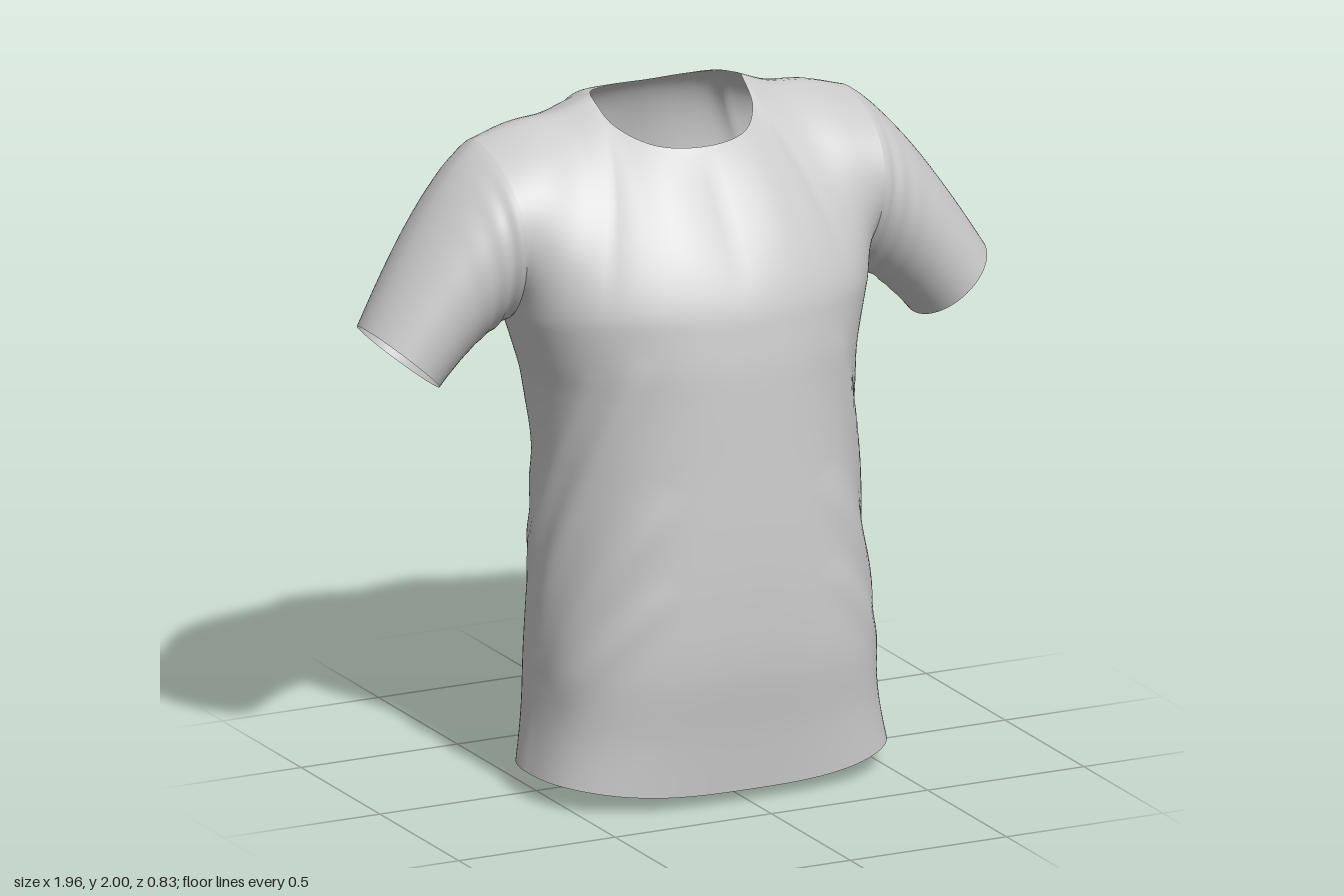
import * as THREE from 'three';
import { mergeVertices, mergeGeometries } from 'three/addons/utils/BufferGeometryUtils.js';

const V = (x, y, z) => new THREE.Vector3(x, y, z);
const mix = THREE.MathUtils.lerp;
const HALF = 32;      // columns from side seam to centre
const CHEST = 1.42;   // height of the armpits

// Torso stations: height, then half width, front z, widest z, back z
const heights = [0, 0.2, 0.4, 0.6, 0.8, 1.0, 1.2, 1.3, CHEST];
const sections = [
  0.565, 0.36, 0.03, -0.315,
  0.525, 0.38, 0.02, -0.355,
  0.51, 0.405, 0.01, -0.35,
  0.495, 0.41, -0.01, -0.31,
  0.48, 0.405, -0.02, -0.305,
  0.47, 0.395, -0.02, -0.32,
  0.485, 0.385, -0.04, -0.36,
  0.51, 0.378, -0.045, -0.385,
  0.545, 0.362, -0.05, -0.405,
];
const stations = new THREE.CubicInterpolant(heights, sections, 4);

// Shoulder seam and the two halves of the neckline
const mirrored = (pts) => new THREE.CatmullRomCurve3(
  [...pts, ...pts.slice(0, -1).reverse().map((p) => V(-p.x, p.y, p.z))]);
const shoulder = new THREE.CatmullRomCurve3(
  [V(0.59, 1.905, -0.2), V(0.46, 1.942, -0.19), V(0.34, 1.957, -0.18), V(0.24, 1.995, -0.17)]);
const neckFront = mirrored(
  [V(0.24, 1.995, -0.17), V(0.222, 1.935, -0.06), V(0.14, 1.892, 0.045), V(0, 1.88, 0.08)]);
const neckBack = mirrored(
  [V(0.24, 1.995, -0.17), V(0.21, 1.992, -0.225), V(0.12, 1.987, -0.262), V(0, 1.985, -0.27)]);

// Cloth folds: start, end, width, height; the same on both sides
const folds = [
  [V(0.3, 1.35, 0.3), V(0.53, 0.45, -0.02), 0.045, 0.022],
  [V(0.4, 1.3, 0.2), V(0.49, 0.6, -0.12), 0.035, 0.018],
  [V(0.25, 0.95, 0.37), V(0.54, 0.35, 0.08), 0.05, 0.014],
  [V(0.25, 0.68, 0.38), V(0.54, 0.28, 0.15), 0.045, 0.01],
  [V(0.47, 1.25, -0.1), V(0.02, 0.42, -0.34), 0.045, 0.03],
  [V(0.48, 0.98, -0.08), V(0.1, 0.36, -0.34), 0.04, 0.022],
  [V(0.48, 0.8, -0.1), V(0.25, 0.42, -0.28), 0.035, 0.018],
  [V(0.22, 0.62, -0.3), V(-0.08, 0.46, -0.33), 0.04, 0.018],
];

function applyFolds(p) {
  const q = V(Math.abs(p.x), p.y, p.z), near = V(0, 0, 0);
  let push = 0;
  for (const [a, b, width, amp] of folds) {
    const line = new THREE.Line3(a, b);
    const t = line.closestPointToPointParameter(q, true);
    const d = line.at(t, near).distanceTo(q) / width;
    // ridge with a shallow valley next to it
    push += amp * Math.sin(Math.PI * t) * (1 - 0.35 * d * d) * Math.exp(-d * d * 0.6);
  }
  return p.addScaledVector(V(p.x, 0, p.z + 0.03).normalize(), push);
}

// Lower torso: t = 0 at the side seam, 1 at the centre; side = 1 front, -1 back
function lowerPoint(t, v, side) {
  const angle = t * Math.PI / 2;
  const cos = Math.max(Math.cos(angle), 0), sin = Math.sin(angle);
  const hem = 0.072 - (side > 0 ? 0.037 : 0.072) * sin ** 3;
  const y = mix(hem, CHEST, v), rise = y / CHEST;
  // boxy front hem to round chest, round back hem to boxy shoulder blades
  const power = side > 0 ? mix(0.68, 0.98, rise) : mix(1, 0.76, rise);
  const [w, front, widest, back] = stations.evaluate(y);
  return V(w * cos ** power, y, mix(widest, side > 0 ? front : back, sin ** power));
}

// Yoke: curves that carry on from the chest up to the shoulder seam and neckline
function upperPoint(t, v, side) {
  const a = lowerPoint(t, 1, side);
  const top = t <= 0.5 ? shoulder.getPoint(t * 2)
    : (side > 0 ? neckFront : neckBack).getPoint(t - 0.5);
  const slope = a.clone().sub(lowerPoint(t, 0.99, side));
  const p1 = a.clone().addScaledVector(slope, 0.15 / slope.y);
  p1.x = mix(p1.x, (a.x + top.x) / 2, (1 - t) ** 2);
  p1.z += side > 0 ? 0.19 * (1 - t) ** 3 : -0.28 * (1 - t) ** 2;
  const p2 = top.clone().add(side > 0
    ? V(0, mix(-0.055, -0.13, t), mix(0.37, 0.09, t))
    : V(0, mix(-0.02, -0.03, t), mix(-0.21, -0.1, t) - 0.14 * Math.sin(Math.PI * t)));
  return new THREE.CubicBezierCurve3(a, p1, p2, top).getPoint(v);
}

// Grid surface from a point rule
function grid(nu, nv, point, flip) {
  const pos = [], index = [];
  for (let j = 0; j <= nv; j++)
    for (let i = 0; i <= nu; i++) pos.push(...point(i / nu, j / nv).toArray());
  for (let j = 0; j < nv; j++)
    for (let i = 0; i < nu; i++) {
      const a = j * (nu + 1) + i, b = a + 1, c = a + nu + 1, d = c + 1;
      index.push(...(flip ? [a, b, c, b, d, c] : [a, c, b, b, c, d]));
    }
  const g = new THREE.BufferGeometry();
  g.setAttribute('position', new THREE.Float32BufferAttribute(pos, 3));
  g.setIndex(index);
  return g;
}

function smooth(parts) {
  const g = mergeVertices(mergeGeometries(parts), 1e-4);
  g.computeVertexNormals();
  return g;
}

// One panel runs from one side seam across the centre to the other
function panel(side, rule, rows) {
  return grid(HALF * 2, rows, (u, v) => {
    const p = rule(1 - Math.abs(1 - 2 * u), v, side);
    if (u > 0.5) p.x *= -1;
    return rule === lowerPoint ? applyFolds(p) : p;
  }, side < 0);
}

// Sleeve: from the armhole edge to a tilted elliptical cuff
function sleeve(sign) {
  return grid(64, 36, (u, v) => {
    const phi = u * Math.PI * 2;
    const start = u <= 0.5 ? upperPoint(0, u * 2, 1) : upperPoint(0, 2 - u * 2, -1);
    const r = -Math.cos(phi), s = Math.sin(phi);
    const end = V(0.876 + 0.105 * r, 1.315 + 0.095 * r, -0.13 + 0.16 * s);
    const k = (1 + r) / 2;
    const c = start.clone().add(end).multiplyScalar(0.5)
      .add(V(-0.06 * k, 0.02 + 0.15 * k, s < 0 ? 0.07 * s : 0));
    const p = new THREE.QuadraticBezierCurve3(start, c, end).getPoint(v);
    // bunched cloth near the underarm
    const ripple = 0.012 * Math.sin(v * 32) * Math.exp(-v * 5) * (1 - k) ** 0.7 * Math.min(1, v * 8);
    p.add(V(0.5 * r, 0.5 * r, s).multiplyScalar(ripple));
    p.x *= sign;
    return p;
  }, sign < 0);
}

export function createModel() {
  const group = new THREE.Group();
  group.name = 'tShirt';
  const cloth = new THREE.MeshStandardMaterial({ color: 0xcccccc, side: THREE.DoubleSide });
  const add = (name, geometry) => {
    const mesh = new THREE.Mesh(geometry, cloth);
    mesh.name = name;
    group.add(mesh);
  };
  // Front and back share side and shoulder seams
  const panels = [];
  for (const side of [1, -1])
    panels.push(panel(side, lowerPoint, 96), panel(side, upperPoint, 32));
  add('torso', smooth(panels));
  add('leftSleeve', smooth([sleeve(1)]));
  add('rightSleeve', smooth([sleeve(-1)]));
  return group;
}
